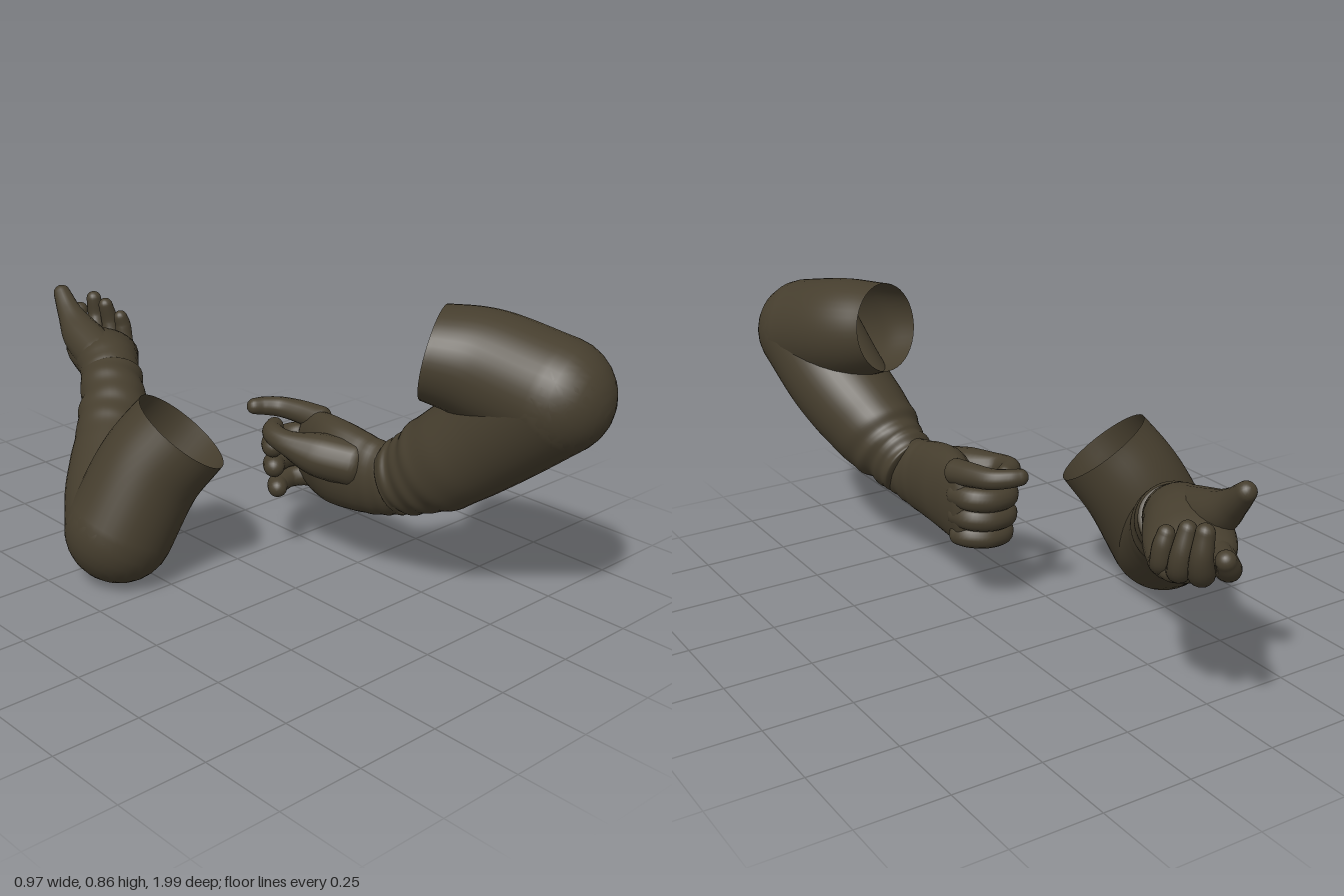
import * as THREE from 'three';

const V = (a) => new THREE.Vector3(a[0], a[1], a[2]);

// Lofted limb. Stations are [x, y, z, halfWidth, halfDepth]; wide is the direction of halfWidth.
// startCap / endCap are dome lengths (0 leaves the end open); fold(t, angle) scales the radius.
function loft(stations, wide, { startCap = 0, endCap = 0, fold = () => 1, rings = 24, sides = 28 } = {}) {
  const path = new THREE.CatmullRomCurve3(stations.map(V), false, 'catmullrom');
  const size = new THREE.CatmullRomCurve3(
    stations.map((s) => new THREE.Vector3(s[3], s[4] ?? s[3], 0)), false, 'catmullrom');
  const rows = [];
  const dome = 7;
  if (startCap) for (let i = 0; i < dome; i++) {
    const a = (1 - i / dome) * Math.PI / 2;
    rows.push([0, Math.max(Math.cos(a), 0.002), -startCap * Math.sin(a)]);
  }
  for (let i = 0; i <= rings; i++) rows.push([i / rings, 1, 0]);
  if (endCap) for (let i = 1; i <= dome; i++) {
    const a = (i / dome) * Math.PI / 2;
    rows.push([1, Math.max(Math.cos(a), 0.002), endCap * Math.sin(a)]);
  }
  const pos = [], index = [];
  rows.forEach(([t, scale, shift], i) => {
    const T = path.getTangent(t);
    const W = V(wide).addScaledVector(T, -V(wide).dot(T)).normalize();
    const B = new THREE.Vector3().crossVectors(T, W);
    const c = path.getPoint(t).addScaledVector(T, shift);
    const r = size.getPoint(t);
    for (let j = 0; j < sides; j++) {
      const a = (j / sides) * Math.PI * 2;
      const k = scale * fold(t, a);
      const p = c.clone().addScaledVector(W, r.x * k * Math.cos(a)).addScaledVector(B, r.y * k * Math.sin(a));
      pos.push(p.x, p.y, p.z);
      if (i < rows.length - 1) {
        const n = (j + 1) % sides;
        const p0 = i * sides + j, p1 = i * sides + n;
        index.push(p0, p1, p0 + sides, p1, p1 + sides, p0 + sides);
      }
    }
  });
  const g = new THREE.BufferGeometry();
  g.setAttribute('position', new THREE.Float32BufferAttribute(pos, 3));
  g.setIndex(index);
  g.computeVertexNormals();
  return g;
}

// Cloth folds that grow towards the cuff
const cuffFolds = (t, a) => {
  const w = THREE.MathUtils.smoothstep(t, 0.3, 0.8);
  return 1 + w * (0.024 * Math.sin(t * 38 + 1.8 * Math.sin(a + 1)) + 0.022 * Math.sin(t * 21 + 2 * a));
};
// Soft gathers of the glove at the wrist
const wristFolds = (t, a) => 1 + 0.02 * Math.max(0, 1 - t * 2.5) * Math.sin(t * 60 + Math.sin(a * 2));

export function createModel() {
  const model = new THREE.Group();
  const cloth = new THREE.MeshStandardMaterial({ color: 0x463e2e, side: THREE.DoubleSide });
  cloth.name = 'dark olive cloth';

  function buildArm(name, spec) {
    const arm = new THREE.Group();
    arm.name = name;
    const add = (part, geometry) => {
      const m = new THREE.Mesh(geometry, cloth);
      m.name = part;
      arm.add(m);
    };
    // Sleeve: open at the shoulder end, rounded at the elbow
    add('upperSleeve', loft(spec.upper, spec.upperWide, { endCap: 0.155, sides: 40 }));
    add('foreSleeve', loft(spec.fore, [1, 0, 0], {
      startCap: 0.155, endCap: 0.012, fold: cuffFolds, rings: 64, sides: 40 }));
    // Gloved hand
    add('palm', loft(spec.palm, spec.palmWide, { startCap: 0.01, endCap: 0.035, fold: wristFolds, rings: 48 }));
    for (const [part, stations] of Object.entries(spec.fingers)) {
      const [first, last] = [stations[0][3], stations[stations.length - 1][3]];
      add(part, loft(stations, spec.palmWide, { startCap: first * 0.7, endCap: last, sides: 16 }));
    }
    model.add(arm);
  }

  // A finger curled into the fist at height y
  const curled = (y, r, s) => [
    [0.235, y, 0.09, r * 1.1], [0.222, y, 0.03 + s, r * 1.05], [0.18, y - 0.004, 0.004 + s, r],
    [0.13, y - 0.008, 0.012 + s, r], [0.105, y - 0.008, 0.035 + s, r * 0.9]];

  buildArm('leftArm', {
    upperWide: [0, 1, 0],
    upper: [[0.216, 0.728, 0.535, 0.13, 0.145], [0.283, 0.705, 0.66, 0.152, 0.152], [0.327, 0.665, 0.845, 0.157, 0.156]],
    fore: [[0.327, 0.665, 0.845, 0.156], [0.302, 0.53, 0.69, 0.148], [0.258, 0.412, 0.545, 0.128, 0.137],
      [0.235, 0.358, 0.465, 0.1, 0.115], [0.222, 0.328, 0.405, 0.086, 0.1]],
    palmWide: [0, 1, 0],
    palm: [[0.228, 0.325, 0.45, 0.09, 0.075], [0.21, 0.317, 0.34, 0.112, 0.072], [0.202, 0.32, 0.22, 0.128, 0.078],
      [0.215, 0.318, 0.13, 0.128, 0.06], [0.225, 0.318, 0.07, 0.115, 0.044]],
    fingers: {
      indexFinger: [[0.235, 0.413, 0.1, 0.038], [0.22, 0.42, 0.03, 0.034], [0.198, 0.424, -0.03, 0.03],
        [0.16, 0.428, -0.062, 0.027], [0.132, 0.43, -0.074, 0.024]],
      middleFinger: curled(0.35, 0.035, 0),
      ringFinger: curled(0.289, 0.034, 0.006),
      littleFinger: curled(0.228, 0.031, 0.022),
      thumb: [[0.175, 0.35, 0.29, 0.066], [0.12, 0.365, 0.2, 0.062], [0.076, 0.388, 0.125, 0.036],
        [0.078, 0.4, 0.065, 0.031], [0.113, 0.403, 0.033, 0.026]],
    },
  });

  buildArm('rightArm', {
    upperWide: [1, 0, 0],
    upper: [[-0.18, 0.443, -0.03, 0.145, 0.152], [-0.252, 0.325, -0.09, 0.152, 0.154], [-0.332, 0.158, -0.128, 0.156, 0.157]],
    fore: [[-0.332, 0.158, -0.128, 0.156], [-0.265, 0.22, -0.245, 0.14], [-0.175, 0.305, -0.365, 0.115],
      [-0.105, 0.375, -0.45, 0.103], [-0.042, 0.437, -0.545, 0.093]],
    palmWide: [0.88, -0.2, 0.42],
    palm: [[-0.065, 0.42, -0.51, 0.085, 0.08], [-0.012, 0.463, -0.6, 0.095, 0.088], [0.042, 0.463, -0.7, 0.114, 0.078],
      [0.088, 0.452, -0.78, 0.11, 0.058], [0.11, 0.45, -0.825, 0.095, 0.043]],
    fingers: {
      indexFinger: [[0.05, 0.462, -0.83, 0.038], [0.085, 0.467, -0.9, 0.034], [0.12, 0.49, -0.95, 0.03],
        [0.146, 0.523, -0.968, 0.026]],
      middleFinger: [[0.095, 0.447, -0.81, 0.037], [0.143, 0.457, -0.88, 0.034], [0.166, 0.51, -0.905, 0.029],
        [0.16, 0.573, -0.908, 0.024]],
      ringFinger: [[0.13, 0.442, -0.78, 0.035], [0.17, 0.452, -0.83, 0.031], [0.18, 0.5, -0.848, 0.028],
        [0.165, 0.562, -0.85, 0.023]],
      littleFinger: [[0.155, 0.437, -0.74, 0.032], [0.182, 0.455, -0.775, 0.028], [0.186, 0.5, -0.785, 0.026],
        [0.178, 0.532, -0.787, 0.022]],
      thumb: [[-0.025, 0.48, -0.62, 0.072], [-0.012, 0.522, -0.735, 0.062], [-0.003, 0.575, -0.81, 0.04],
        [0.008, 0.627, -0.868, 0.027]],
    },
  });

  return model;
}
